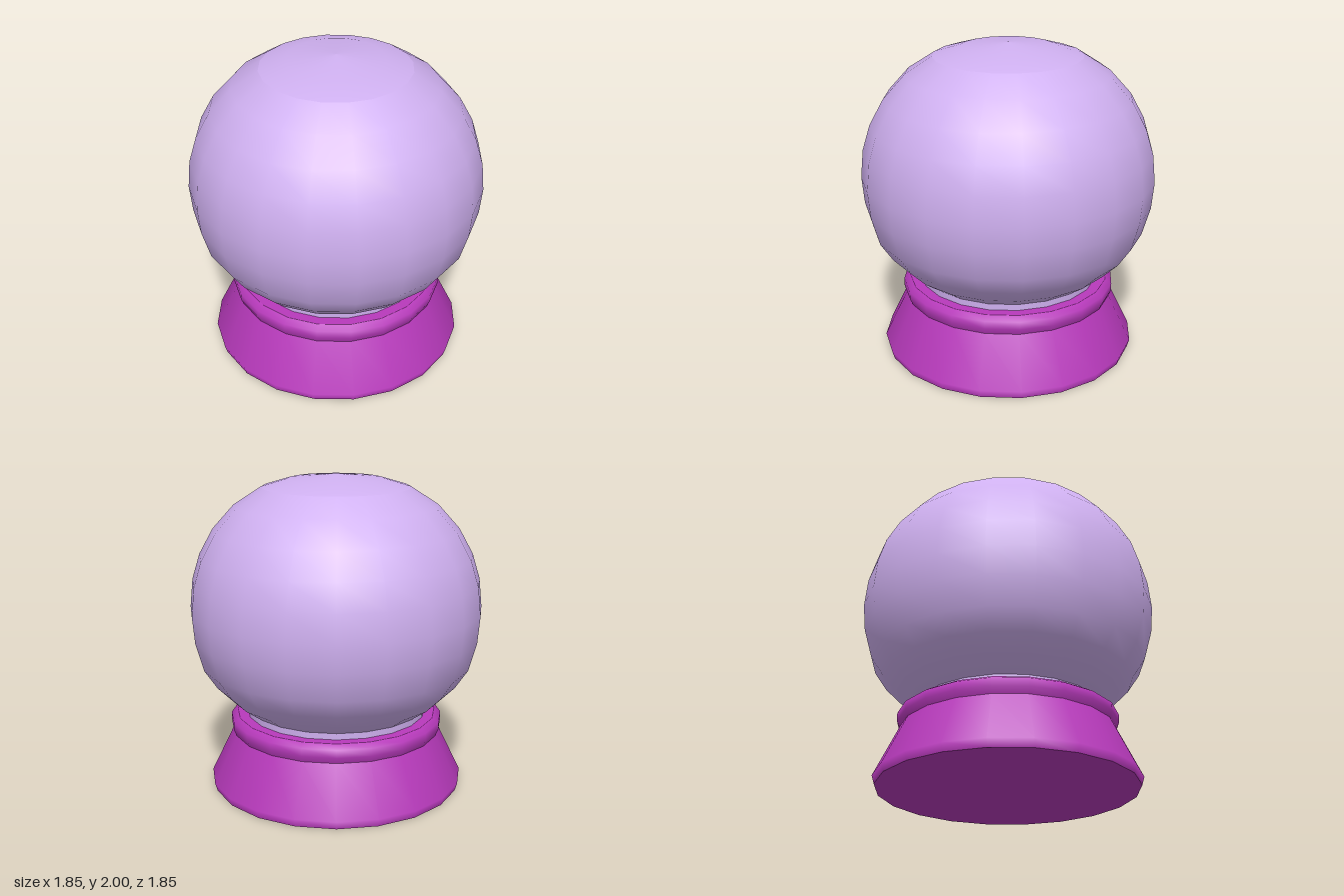
import * as THREE from 'three';

const SIDES = 20;

// Smooth surface of revolution; profile runs from bottom to top as [radius, y]
function turned(name, color, profile) {
  const points = profile.map(([r, y]) => new THREE.Vector2(r, y));
  const material = new THREE.MeshStandardMaterial({ color });
  const mesh = new THREE.Mesh(new THREE.LatheGeometry(points, SIDES), material);
  mesh.name = name;
  return mesh;
}

export function createModel() {
  const model = new THREE.Group();
  model.name = 'crystalBall';
  const purple = 0xb83abc, lavender = 0xcfb0f0;

  // Stand: separate bands keep the edges between them sharp
  const stand = new THREE.Group();
  stand.name = 'stand';
  stand.add(
    turned('standBottom', purple, [[0, 0], [0.8, 0]]),
    turned('standBody', purple, [[0.8, 0], [0.815, 0.05], [0.665, 0.36]]),
    turned('standCollar', purple, [[0.665, 0.36], [0.682, 0.4], [0.682, 0.45], [0.64, 0.475]]),
    turned('standRim', purple, [[0.64, 0.475], [0.57, 0.475]])
  );

  // Ball: neck, rounded body and a flattened crown
  const ball = new THREE.Group();
  ball.name = 'ball';
  ball.add(
    turned('ballNeck', lavender, [[0.575, 0.44], [0.575, 0.515]]),
    turned('ballBody', lavender, [
      [0.575, 0.515], [0.68, 0.59], [0.78, 0.69], [0.86, 0.81], [0.91, 0.99], [0.925, 1.16],
      [0.907, 1.34], [0.858, 1.5], [0.77, 1.66], [0.635, 1.81], [0.465, 1.92]
    ]),
    turned('ballCrown', lavender, [[0.465, 1.92], [0.3, 1.97], [0, 2]])
  );

  model.add(stand, ball);
  return model;
}
